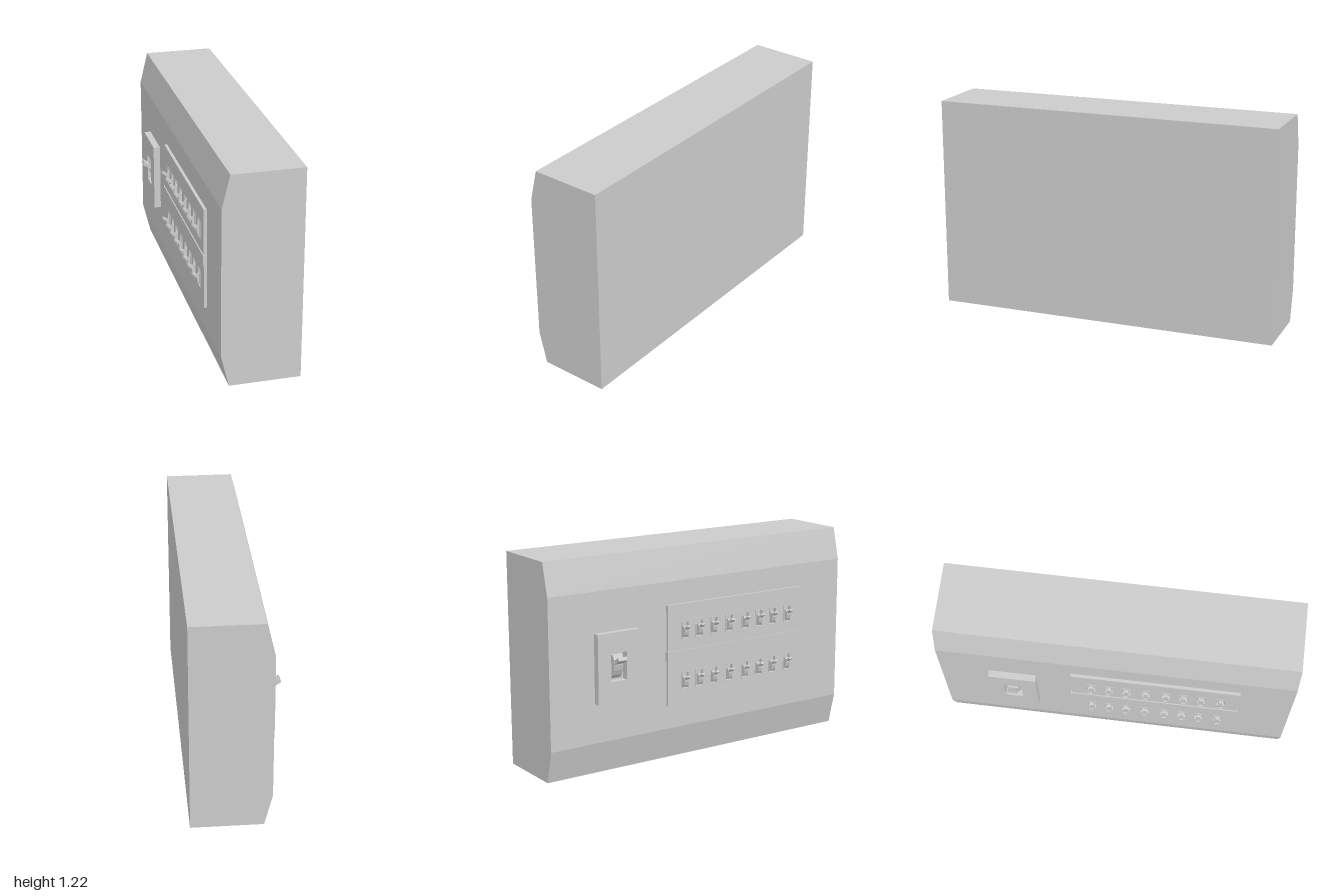
import * as THREE from 'three';

const mat = new THREE.MeshStandardMaterial({ color: 0xcccccc, flatShading: true });
const FACE = -0.183; // x of the cabinet's switch face

function mesh(name, geo) {
  const m = new THREE.Mesh(geo, mat);
  m.name = name;
  return m;
}

// Outline in x-y, extruded along z and centred on zc
function profile(name, pts, width, zc = 0) {
  const shape = new THREE.Shape(pts.map(([x, y]) => new THREE.Vector2(x, y)));
  const geo = new THREE.ExtrudeGeometry(shape, { depth: width, bevelEnabled: false });
  geo.translate(0, 0, zc - width / 2);
  return mesh(name, geo);
}

function rect(z0, z1, y0, y1) {
  return [[z0, y0], [z1, y0], [z1, y1], [z0, y1]].map(([z, y]) => new THREE.Vector2(z, y));
}

// Flat plate on the switch face with rectangular openings, growing towards -x
function plate(name, outer, thickness, holes, from = FACE) {
  const shape = new THREE.Shape(rect(...outer));
  for (const h of holes) shape.holes.push(new THREE.Path(rect(...h).reverse()));
  const geo = new THREE.ExtrudeGeometry(shape, { depth: thickness, bevelEnabled: false });
  geo.rotateY(-Math.PI / 2);
  geo.translate(from, 0, 0);
  return mesh(name, geo);
}

export function createModel() {
  const root = new THREE.Group();
  root.name = 'breakerBox';

  // Cabinet with chamfered top and bottom edges on the switch side
  root.add(profile('cabinet', [
    [0.262, 0], [0.262, 1.22], [-0.138, 1.22], [FACE, 1.035], [FACE, 0.185], [-0.138, 0],
  ], 2));

  // Breaker panel with two rows of slots
  const columns = [-0.135, -0.035, 0.065, 0.175, 0.29, 0.39, 0.49, 0.6];
  const rows = [0.75, 0.458];
  const slots = [];
  for (const y of rows) for (const z of columns) slots.push([z - 0.022, z + 0.022, y - 0.046, y + 0.046]);
  root.add(plate('breakerPanel', [-0.25, 0.7, 0.32, 0.903], 0.017, slots));
  root.add(plate('dividerStrip', [-0.255, 0.705, 0.583, 0.638], 0.023, []));

  // Small breakers: raised rim, curved rocker and tilted lever
  for (const y of rows) {
    for (const z of columns) {
      const breaker = new THREE.Group();
      breaker.name = 'breaker';
      breaker.add(plate('slotRim', [z - 0.026, z + 0.026, y - 0.052, y + 0.052], 0.004,
        [[z - 0.022, z + 0.022, y - 0.046, y + 0.046]], -0.199));
      breaker.add(profile('rocker', [
        [FACE, y - 0.046], [-0.203, y - 0.04], [-0.212, y - 0.025], [-0.217, y - 0.005],
        [-0.217, y + 0.008], [-0.203, y + 0.025], [FACE, y + 0.02],
      ], 0.026, z));
      breaker.add(profile('lever', [
        [-0.242, y + 0.024], [-0.212, y + 0.002], [-0.205, y + 0.012], [-0.237, y + 0.033],
      ], 0.024, z));
      root.add(breaker);
    }
  }

  // Main switch: thick plate with a deep slot
  const main = new THREE.Group();
  main.name = 'mainSwitch';
  const z = -0.587;
  main.add(plate('mainPlate', [-0.72, -0.45, 0.412, 0.805], 0.039, [[z - 0.05, z + 0.05, 0.53, 0.69]]));
  main.add(profile('mainRocker', [
    [FACE, 0.54], [-0.2, 0.56], [-0.214, 0.59], [-0.221, 0.62], [-0.219, 0.65], [-0.205, 0.675], [FACE, 0.675],
  ], 0.06, z));
  main.add(profile('mainLever', [
    [-0.265, 0.653], [-0.21, 0.618], [-0.203, 0.637], [-0.256, 0.671],
  ], 0.055, z));
  root.add(main);

  return root;
}
